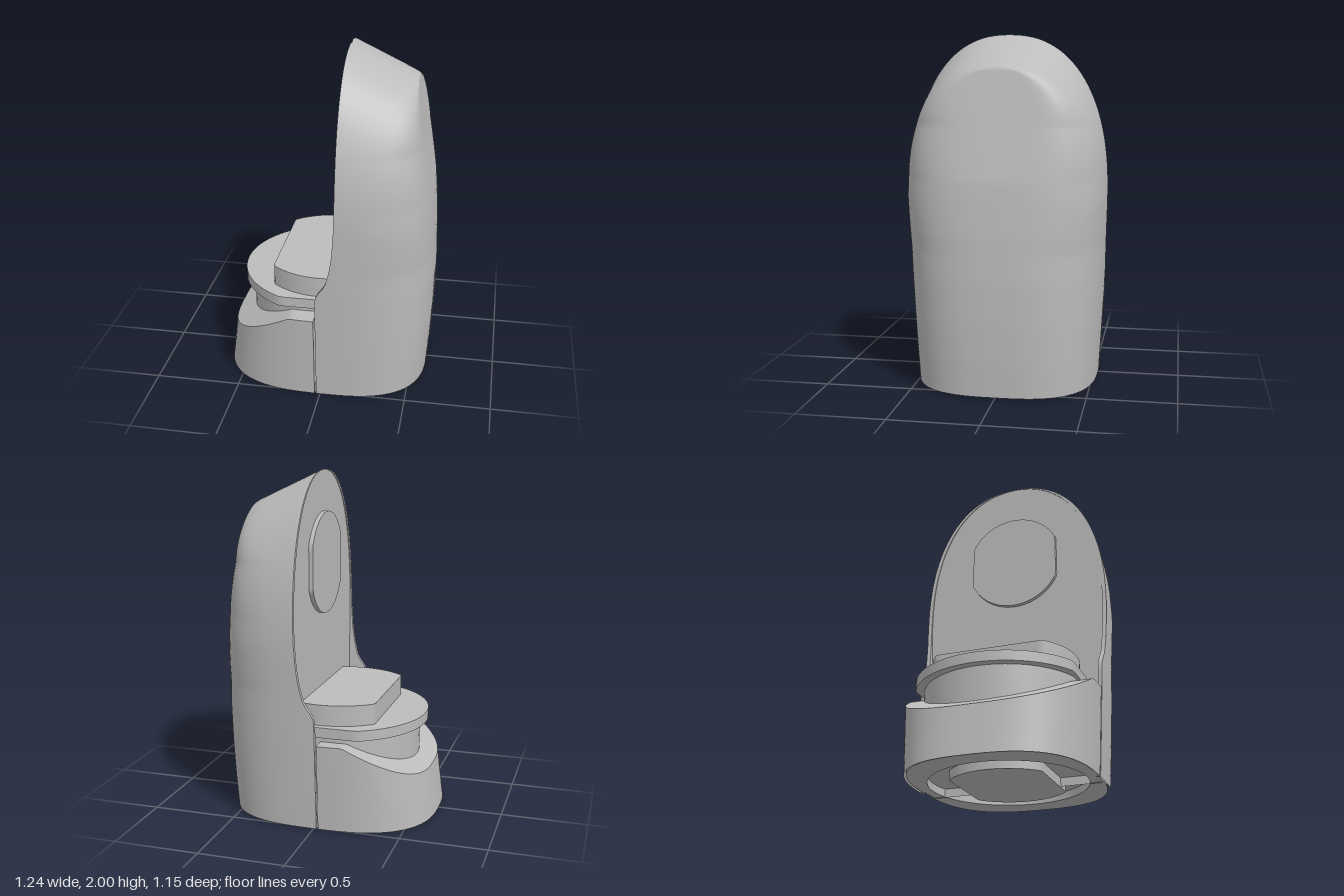
import * as THREE from 'three';
import { toCreasedNormals } from 'three/addons/utils/BufferGeometryUtils.js';

const grey = new THREE.MeshStandardMaterial({ color: 0xbcbcbc });
grey.name = 'plain grey';
const { clamp } = THREE.MathUtils;

function lerpTable(table, v) {
  let i = 0;
  while (i < table.length - 2 && v > table[i + 1][0]) i++;
  const [a, b] = [table[i], table[i + 1]];
  return a[1] + (b[1] - a[1]) * (v - a[0]) / (b[0] - a[0]);
}

// Half width of the arch at a height
function halfWidth(y) {
  if (y < 1.1) return 0.575 - 0.05 * ((1.1 - y) / 1.1) ** 1.3;
  return 0.575 * Math.max(0, 1 - ((y - 1.1) / 0.9) ** 2.3) ** 0.435;
}
// Rounded-square plan curve; a higher n gives tighter corners
const plan = (t, n) => Math.max(0, 1 - clamp(t, 0, 1) ** n) ** (1 / n);
// Depth of the back wall, front edge and corner tightness at a height
const backX = y => lerpTable([[0, 0.59], [0.2, 0.605], [0.4, 0.615], [0.65, 0.62],
  [0.9, 0.613], [1.1, 0.6], [1.2, 0.591], [1.82, 0.485]], y);
const edgeX = y => lerpTable([[0, -0.02], [0.65, -0.02], [0.69, -0.01], [0.72, 0.02],
  [0.77, 0.045], [0.85, 0.065], [0.95, 0.08], [1.1, 0.09], [1.3, 0.094], [2, 0.096]], y);
const cornerPower = y => lerpTable([[0, 2.9], [0.8, 2.9], [1.2, 3.5], [1.5, 5], [1.75, 10], [2, 14]], y);

// Skin a list of equal-length closed rings
function loft(rings, crease, capEnds = false) {
  const n = rings[0].length, index = [];
  for (let j = 0; j < rings.length - 1; j++) {
    for (let i = 0; i < n; i++) {
      const k = (i + 1) % n;
      const a = j * n + i, b = j * n + k, c = a + n, d = b + n;
      index.push(a, b, d, a, d, c);
    }
  }
  if (capEnds) {
    const e = (rings.length - 1) * n;
    for (let i = 1; i < n - 1; i++) index.push(0, i + 1, i, e, e + i, e + i + 1);
  }
  const geo = new THREE.BufferGeometry();
  geo.setAttribute('position', new THREE.Float32BufferAttribute(rings.flat(2), 3));
  geo.setIndex(index);
  return toCreasedNormals(geo, crease);
}

// Circle trimmed by straight sides, extruded upward from y0 to y1
function trimmedDisk(r, x0, x1, zMax, y0, y1) {
  const pts = [];
  for (let i = 0; i < 96; i++) {
    const a = i / 96 * Math.PI * 2;
    pts.push(new THREE.Vector2(clamp(r * Math.cos(a), x0, x1), clamp(r * Math.sin(a), -zMax, zMax)));
  }
  const geo = new THREE.ExtrudeGeometry(new THREE.Shape(pts), { depth: y1 - y0, bevelEnabled: false });
  geo.rotateX(-Math.PI / 2).translate(0, y0, 0);
  return toCreasedNormals(geo, 0.5);
}

function shellGeometry() {
  const heights = [];
  for (let i = 0; i < 36; i++) heights.push(0.005 + 1.195 * i / 36);
  for (let i = 0; i <= 60; i++) heights.push(1.2 + 0.7998 * Math.sin(i / 60 * Math.PI / 2));
  return loft(heights.map(y => {
    const front = edgeX(y), n = cornerPower(y);
    const end = Math.max(front, Math.min(backX(y), 0.1 + (2 - y) / 0.47));
    // The arch slides down along the sloping roof
    const width = x => {
      const shifted = y + 0.47 * Math.max(0, x - 0.1);
      return shifted > 1.1 ? Math.min(halfWidth(y), halfWidth(shifted)) : halfWidth(y);
    };
    const side = [];
    const corner = 0.5 ** (1 / n);
    // Side wall, then around the corner and across the back
    for (let i = 0; i < 20; i++) {
      const x = front + (Math.max(front, corner * end) - front) * i / 20;
      side.push([x, y, width(x) * plan(x / end, n)]);
    }
    for (let i = 0; i <= 16; i++) {
      const p = corner * (1 - i / 16);
      const x = Math.max(front, end * plan(p, n));
      side.push([x, y, p * width(x)]);
    }
    const other = side.slice(0, -1).reverse().map(([x, yy, z]) => [x, yy, -z]);
    const inner = Math.max(0, halfWidth(y) - 0.024);
    const panel = Math.max(front, 0.1);
    return [...side, ...other, [front, y, -inner], [panel, y, -inner], [panel, y, inner], [front, y, inner]];
  }), 0.9);
}

// Low wall with a sloping top, open underneath behind a thin lip
function frontBaseGeometry() {
  const rings = [];
  for (let i = 0; i <= 40; i++) {
    const s = Math.sin(i / 40 * Math.PI / 2);
    const xb = -0.03 - 0.595 * s, xt = -0.03 - 0.555 * s;
    const top = clamp(0.29 + (xt + 0.585) * 0.54, 0.29, 0.512);
    const wb = halfWidth(0) * plan(-xb / 0.625, 2.7);
    const wt = halfWidth(top) * plan(-xt / 0.585, 2.7);
    const xi = Math.min(-0.03, xb * 0.97), wi = wb * 0.97;
    rings.push([[xt, top, -wt], [xb, 0.005, -wb], [xi, 0.06, -wi],
      [xi, 0.06, wi], [xb, 0.005, wb], [xt, top, wt]]);
  }
  return loft(rings, 0.5, true);
}

function floorGeometry() {
  const pts = [];
  for (let i = 0; i < 80; i++) {
    const a = i / 80 * Math.PI * 2, c = Math.cos(a), s = Math.sin(a), p = 2 / 2.7;
    const rx = c > 0 ? 0.578 : 0.61;
    pts.push(new THREE.Vector2(Math.sign(c) * rx * Math.abs(c) ** p, Math.sign(s) * 0.515 * Math.abs(s) ** p));
  }
  const shape = new THREE.Shape(pts);
  shape.holes.push(new THREE.Path().absarc(-0.02, 0, 0.45, 0, Math.PI * 2, true));
  const geo = new THREE.ExtrudeGeometry(shape, { depth: 0.05, bevelEnabled: false, curveSegments: 48 });
  geo.rotateX(-Math.PI / 2).translate(0, 0.01, 0);
  return toCreasedNormals(geo, 0.5);
}

export function createModel() {
  const model = new THREE.Group();
  model.name = 'chargingStand';
  const add = (name, geo, x = 0, y = 0, z = 0) => {
    const mesh = new THREE.Mesh(geo, grey);
    mesh.name = name;
    mesh.position.set(x, y, z);
    model.add(mesh);
    return mesh;
  };

  // Tall shell and low base in front of it
  add('backShell', shellGeometry());
  add('frontBase', frontBaseGeometry());

  // Stacked turntable
  add('pedestal', trimmedDisk(0.47, -1, 0.12, 0.45, 0.2, 0.545), -0.02, 0, -0.015);
  add('disk', trimmedDisk(0.52, -1, 0.12, 0.47, 0.54, 0.6), -0.02, 0, -0.015);
  add('platform', trimmedDisk(0.43, -0.29, 0.12, 1, 0.6, 0.72), -0.02, 0, -0.015);

  // Upright pad on the inner panel
  const pad = add('uprightPad', trimmedDisk(0.3, -1, 1, 0.27, 0, 0.03), 0.105, 1.46, 0);
  pad.rotation.z = Math.PI / 2;

  // Underside with a round recess and a trimmed foot
  add('floor', floorGeometry());
  add('recessCeiling', trimmedDisk(0.46, -1, 1, 1, 0.055, 0.065), -0.02);
  add('foot', trimmedDisk(0.345, -1, 1, 0.265, 0, 0.06), -0.02);
  return model;
}
